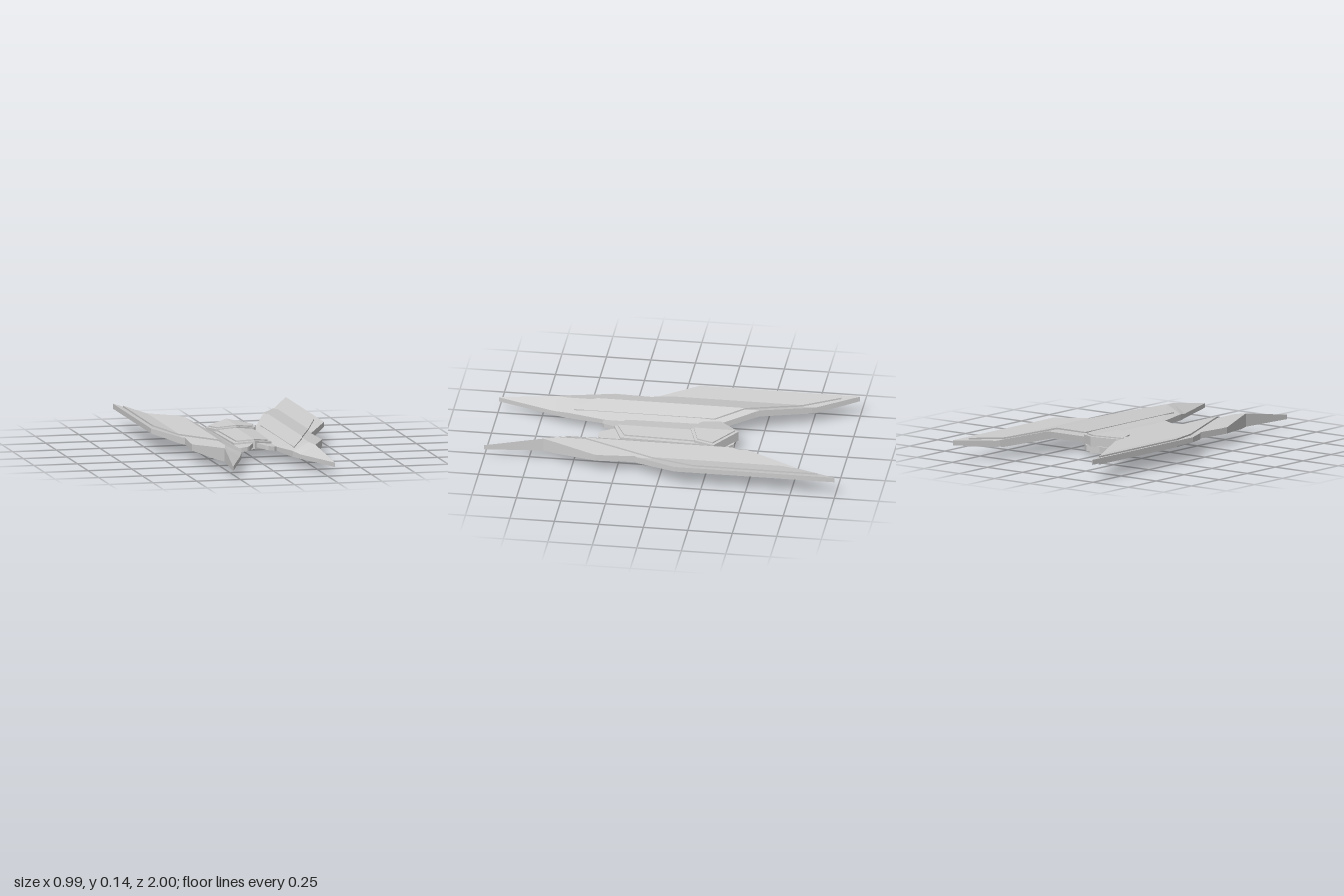
import * as THREE from 'three';

const material = new THREE.MeshStandardMaterial({ color: 0xcccccc, flatShading: true });

// Piecewise linear lookup in a list of [position, value] pairs.
function at(line, p) {
  if (p <= line[0][0]) return line[0][1];
  for (let i = 1; i < line.length; i++) {
    const [a, va] = line[i - 1], [b, vb] = line[i];
    if (p <= b) return va + (vb - va) * (p - a) / (b - a);
  }
  return line[line.length - 1][1];
}

// Stations along z: every outline corner, plus each crossing of a fold line.
function stations(lines, folds) {
  const zs = [];
  for (const line of lines) line.forEach(([z, x], i) => {
    zs.push(z);
    if (!i) return;
    const [pz, px] = line[i - 1];
    for (const f of folds) if ((f - px) * (f - x) < 0) zs.push(pz + (z - pz) * (f - px) / (x - px));
  });
  zs.sort((a, b) => a - b);
  return zs.filter((z, i) => !i || z - zs[i - 1] > 1e-4);
}

// Folded plate between two outlines [z, x]; side is 1 for left, -1 for right.
function plate({ inner, outer, top, bottom, folds = [] }, side) {
  const rings = stations([inner, outer], folds).map((z) => {
    const a = at(inner, z), b = Math.max(a, at(outer, z));
    const xs = [a, ...folds.map((f) => Math.min(b, Math.max(a, f))), b];
    const upper = xs.map((x) => new THREE.Vector3(side * x, top(x, z), z));
    const lower = xs.map((x) => new THREE.Vector3(side * x, bottom(x, z), z));
    return [...upper, ...lower.reverse()];
  });
  const pos = [];
  const tri = (a, b, c) => {
    const area = b.clone().sub(a).cross(c.clone().sub(a)).length();
    if (area < 1e-8) return;
    for (const v of side > 0 ? [a, b, c] : [a, c, b]) pos.push(v.x, v.y, v.z);
  };
  const quad = (a, b, c, d) => { tri(a, b, c); tri(a, c, d); };
  const n = rings[0].length;
  for (let i = 1; i < rings.length; i++) {
    const p = rings[i - 1], q = rings[i];
    for (let j = 0; j < n; j++) quad(p[j], q[j], q[(j + 1) % n], p[(j + 1) % n]);
  }
  // End caps
  const first = rings[0], last = rings[rings.length - 1];
  for (let j = 0; j < n / 2 - 1; j++) {
    quad(first[j], first[j + 1], first[n - 2 - j], first[n - 1 - j]);
    quad(last[j], last[n - 1 - j], last[n - 2 - j], last[j + 1]);
  }
  const geometry = new THREE.BufferGeometry();
  geometry.setAttribute('position', new THREE.Float32BufferAttribute(pos, 3));
  geometry.computeVertexNormals();
  return geometry;
}

// Wing fold: crest at x 0.24, valley at x 0.37
const folds = [0.24, 0.37];
const crest = [[0.1, 0.072], [0.15, 0.085], [0.24, 0.13], [0.37, 0.104], [0.5, 0.127]];
const keel = [[0.1, 0.05], [0.15, 0.052], [0.24, 0.092], [0.37, 0.068], [0.5, 0.099]];
const wingInner = [[-1, 0.493], [-0.75, 0.36], [-0.45, 0.23], [-0.27, 0.143], [-0.15, 0.115],
  [0.27, 0.105], [0.38, 0.11], [0.6, 0.147], [1, 0.29]];
const wingOuter = [[-1, 0.495], [-0.1, 0.495], [0.14, 0.36], [0.36, 0.373], [0.67, 0.26], [1, 0.292]];

// The front prong slopes from its outer ridge down to the tip
function wingTop(x, z) {
  if (z < 0.65) return at(crest, x);
  const a = at(wingInner, z), b = at(wingOuter, z);
  const ridge = at([[0.67, 0.125], [1, 0.075]], z);
  return 0.075 + (ridge - 0.075) * (x - a) / Math.max(b - a, 1e-4);
}
const wingBottom = (x, z) => THREE.MathUtils.lerp(at(keel, x), 0.05, at([[0.36, 0], [0.6, 1]], z));

const panelInner = [[-0.9, 0.46], [-0.4, 0.245], [-0.23, 0.163], [0.56, 0.163]];
const panelOuter = [[-0.9, 0.462], [-0.2, 0.462], [0.04, 0.37], [0.47, 0.23], [0.56, 0.165]];

// Hull layers share a shallow roof shape, highest on the centre line
const roof = (y, slope = 0.14) => (x) => y - slope * x;
const centre = (outer) => [[outer[0][0], 0], [outer[outer.length - 1][0], 0]];
const layer = (outer, high, low) => ({ inner: centre(outer), outer, top: roof(high), bottom: roof(low) });

const podOutline = [[-0.39, 0], [-0.27, 0.143], [-0.16, 0.112], [-0.12, 0]];
const podInset = [[-0.37, 0], [-0.262, 0.128], [-0.172, 0.102], [-0.138, 0]];
const chinOutline = [[-0.37, 0.045], [-0.27, 0.14], [-0.16, 0.112], [-0.12, 0]];

const parts = {
  wing: { inner: wingInner, outer: wingOuter, top: wingTop, bottom: wingBottom, folds },
  wingTopPanel: {
    inner: panelInner, outer: panelOuter, folds,
    top: (x) => at(crest, x) + 0.009, bottom: (x) => at(crest, x) - 0.01,
  },
  wingBottomPanel: {
    inner: panelInner, outer: panelOuter, folds,
    top: (x, z) => wingBottom(x, z) + 0.008,
    bottom: (x, z) => Math.max(0.046, wingBottom(x, z) - 0.009),
  },
  hull: layer([[-0.28, 0.125], [-0.15, 0.118], [0.26, 0.108], [0.31, 0]], 0.1, 0.056),
  deckPanel: layer([[-0.16, 0.1], [0.24, 0.09], [0.29, 0]], 0.108, 0.09),
  bellyPanel: layer([[-0.16, 0.1], [0.22, 0.088], [0.27, 0]], 0.07, 0.048),
  frontTab: {
    inner: [[0.25, 0.0], [0.31, 0.012], [0.375, 0.045], [0.385, 0.06]],
    outer: [[0.25, 0.108], [0.375, 0.108], [0.385, 0.095]],
    top: roof(0.09), bottom: roof(0.066),
  },
  pod: layer(podOutline, 0.115, 0.06),
  podTopPlate: layer(podInset, 0.122, 0.11),
  podChin: layer(chinOutline, 0.065, 0.032),
  podBottomPlate: layer([[-0.34, 0.05], [-0.27, 0.118], [-0.17, 0.1], [-0.14, 0]], 0.035, 0.0168),
};

export function createModel() {
  const model = new THREE.Group();
  model.name = 'starship';
  for (const [name, spec] of Object.entries(parts)) {
    const group = new THREE.Group();
    group.name = name;
    for (const side of [1, -1]) {
      const mesh = new THREE.Mesh(plate(spec, side), material);
      mesh.name = (side > 0 ? 'left ' : 'right ') + name;
      group.add(mesh);
    }
    model.add(group);
  }
  return model;
}
